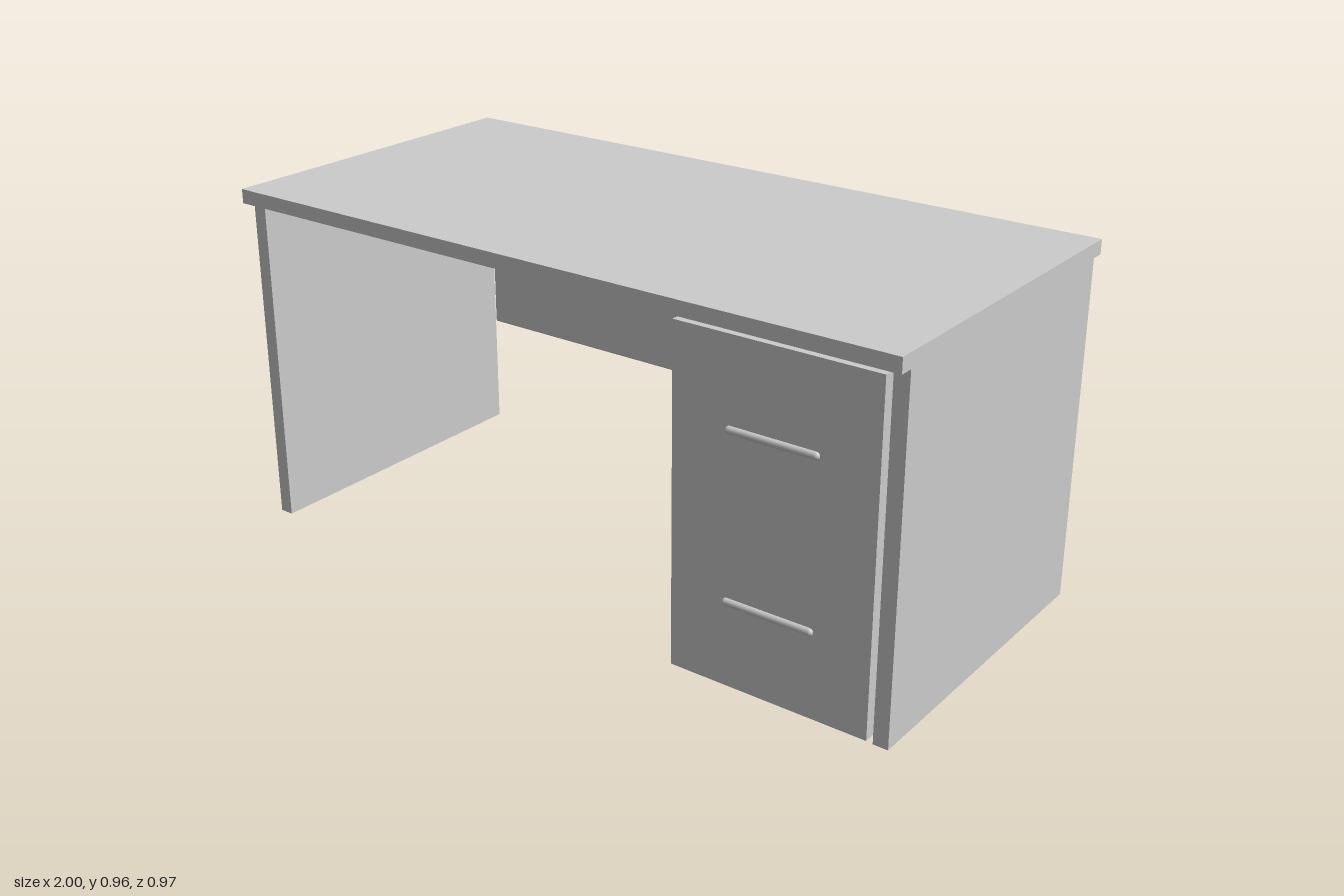
import * as THREE from 'three';
import { RoundedBoxGeometry } from 'three/addons/geometries/RoundedBoxGeometry.js';

export function createModel() {
  const desk = new THREE.Group();
  desk.name = 'desk';
  const material = new THREE.MeshStandardMaterial({ color: 0xcccccc });

  function add(name, geometry, x, y, z) {
    const mesh = new THREE.Mesh(geometry, material);
    mesh.name = name;
    mesh.position.set(x, y, z);
    desk.add(mesh);
    return mesh;
  }

  // Box given by its limits on each axis, with optional rounded edges
  function slab(name, [x0, x1], [y0, y1], [z0, z1], radius = 0) {
    const size = [x1 - x0, y1 - y0, z1 - z0];
    const geometry = radius
      ? new RoundedBoxGeometry(...size, 3, radius)
      : new THREE.BoxGeometry(...size);
    return add(name, geometry, (x0 + x1) / 2, (y0 + y1) / 2, (z0 + z1) / 2);
  }

  const depth = [-0.447, 0.447];

  // Overhanging top and the two side panels carrying it
  slab('desktop', [-1, 1], [0.926, 0.965], [-0.485, 0.485]);
  slab('rightSidePanel', [-1, -0.96], [0, 0.926], depth);
  slab('leftSidePanel', [0.96, 1], [0, 0.926], depth);

  // Drawer cabinet, standing clear of the top and the side panel
  slab('drawerCabinet', [0.392, 0.943], [0.002, 0.9], depth);

  // Modesty panel with softened edges, just behind the sides
  slab('modestyPanel', [-0.96, 0.4], [0.322, 0.827], [-0.472, -0.446], 0.006);

  // Round-ended drawer pulls, half sunk into the cabinet front
  const radius = 0.01;
  const pull = new THREE.CapsuleGeometry(radius, 0.25 - 2 * radius, 8, 16);
  pull.rotateZ(Math.PI / 2);
  for (const [name, y] of [['upperHandle', 0.67], ['lowerHandle', 0.23]]) {
    add(name, pull, 0.667, y, 0.448);
  }

  return desk;
}
